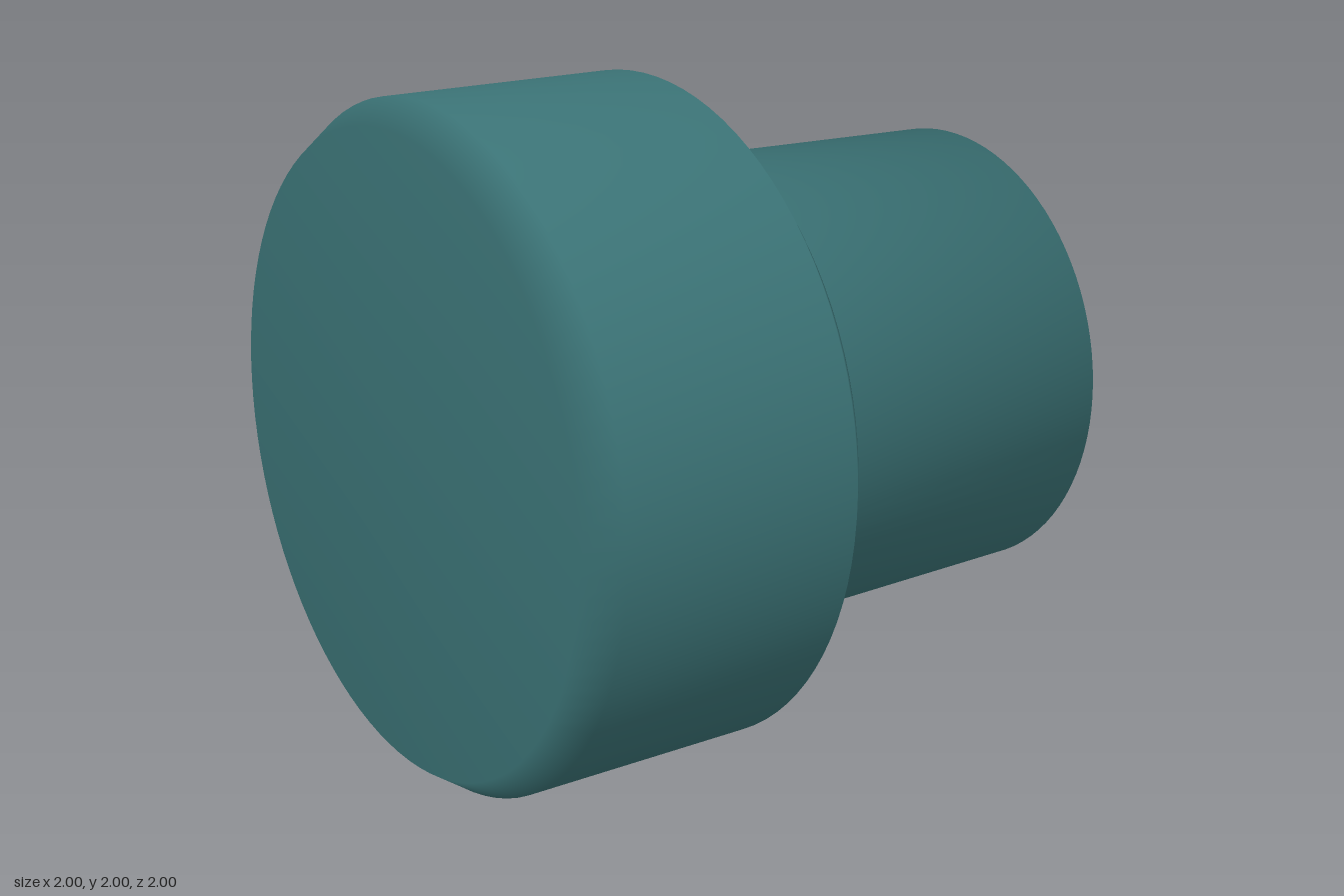
import * as THREE from 'three';

export function createModel() {
  const group = new THREE.Group();
  group.name = 'plug';
  const material = new THREE.MeshStandardMaterial({ color: 0x3b7376 });

  // Profile as [radius, z], from the back of the stem to the front of the cap
  const profile = [
    [0, -1], [0.7, -1],          // stem end
    [0.72, 0.1],                 // slightly tapered stem
    [0.93, 0.1], [1, 0.16],      // shoulder and rear bevel
    [1, 0.9], [0.93, 1], [0, 1], // cap wall, front bevel and face
  ].map(([r, z]) => new THREE.Vector2(r, z));

  // One smooth turned body, with its axis laid along z
  const geometry = new THREE.LatheGeometry(profile, 96);
  geometry.rotateX(Math.PI / 2);
  const body = new THREE.Mesh(geometry, material);
  body.name = 'capAndStem';
  body.position.y = 1;
  group.add(body);
  return group;
}
